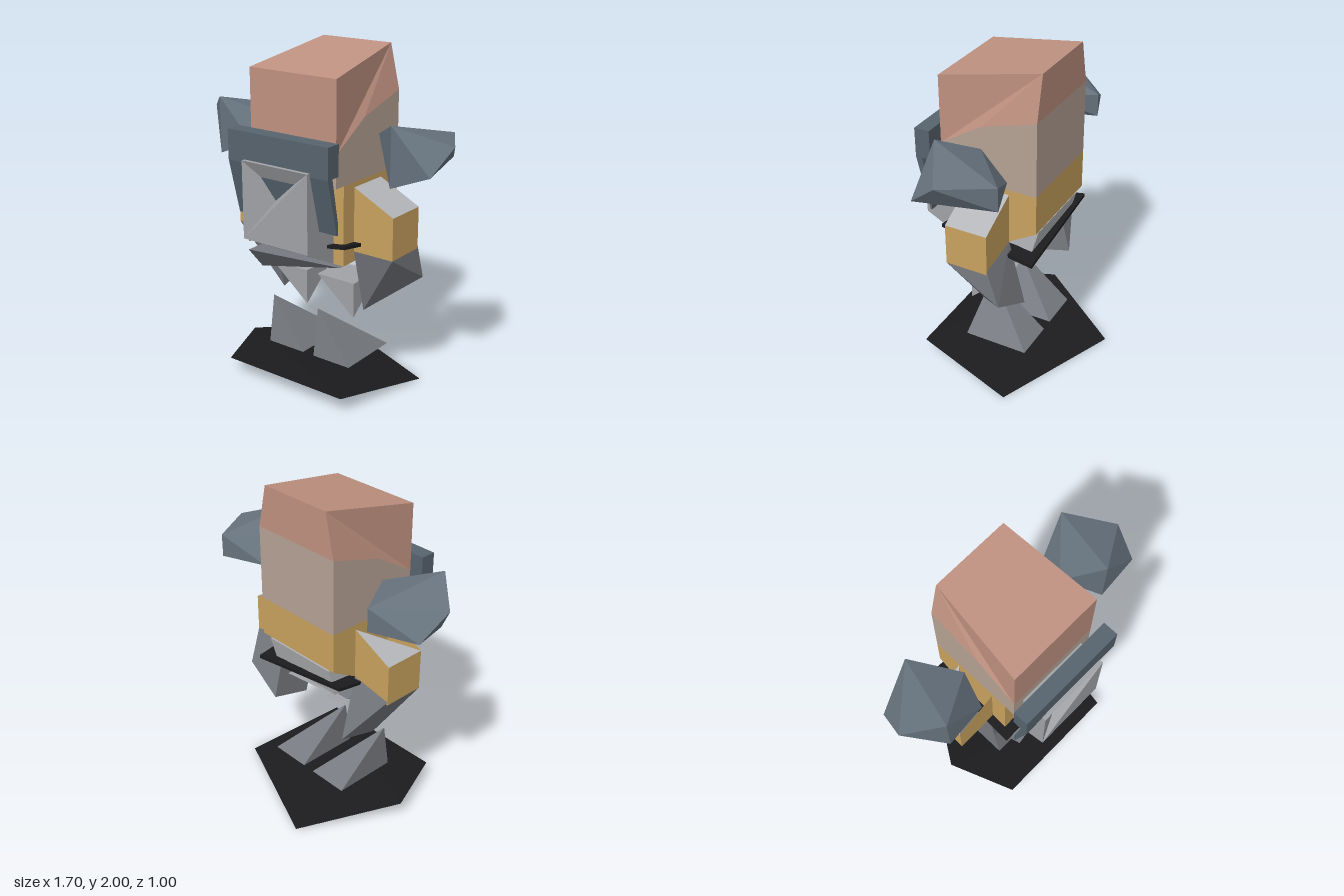
import * as THREE from 'three';
import { ConvexGeometry } from 'three/addons/geometries/ConvexGeometry.js';

const material = (color) =>
  new THREE.MeshStandardMaterial({ color, flatShading: true, side: THREE.DoubleSide });

const SKIN = material(0xbf9180), BEIGE = material(0xb5a294), GOLD = material(0xc8a25e),
  SLATE = material(0x56636e), FIST = material(0x66727d), GREY = material(0xa0a2a6),
  LIGHT = material(0xb4b6ba), DARK = material(0x777a80), BLACK = material(0x1c1c1f);

export function createModel() {
  const model = new THREE.Group();

  const add = (name, geometry, mat, x = 0) => {
    const mesh = new THREE.Mesh(geometry, mat);
    mesh.name = name;
    mesh.position.x = x;
    model.add(mesh);
    return mesh;
  };
  const vectors = (points) => points.map((p) => new THREE.Vector3(...p));
  const hull = (points) => new ConvexGeometry(vectors(points));

  // Side profile given as [z, y], swept across the width and centred on x
  const sweep = (profile, width) => {
    const shape = new THREE.Shape(profile.map(([z, y]) => new THREE.Vector2(z, y)));
    const geometry = new THREE.ExtrudeGeometry(shape, { depth: width, bevelEnabled: false });
    return geometry.translate(0, 0, -width / 2).rotateY(-Math.PI / 2);
  };

  // Flat polygons, each fanned from its first corner
  const sheet = (polygons) => {
    const corners = [];
    for (const poly of polygons) {
      for (let i = 1; i < poly.length - 1; i++) corners.push(poly[0], poly[i], poly[i + 1]);
    }
    const geometry = new THREE.BufferGeometry().setFromPoints(vectors(corners));
    geometry.computeVertexNormals();
    return geometry;
  };

  // Head: upper block narrows at the top of the back
  const crown = sweep([[-0.26, 2], [-0.26, 1.74], [0.08, 1.64], [0.34, 1.48], [0.34, 1.89]], 0.6);
  const pos = crown.attributes.position;
  for (let i = 0; i < pos.count; i++) {
    if (pos.getY(i) > 1.95) pos.setX(i, pos.getX(i) * 0.8);
  }
  crown.computeVertexNormals();
  add('headTop', crown, SKIN);
  add('headBase', sweep([[0.34, 1.29], [0.34, 1.48], [0.08, 1.64], [-0.26, 1.74], [-0.26, 1.29]], 0.6), BEIGE);

  // Torso, pelvis and loin
  add('torso', sweep([[0.27, 1.29], [-0.26, 1.29], [-0.26, 1.05], [-0.09, 0.95], [0.12, 0.82], [0.27, 0.82]], 0.6), GOLD);
  add('pelvis', sweep([[-0.25, 1.03], [-0.2, 0.85], [0.1, 0.815], [0.1, 1]], 0.5), LIGHT);
  add('loin', hull([[-0.3, 0.82, 0.39], [0.3, 0.82, 0.3], [-0.3, 0.68, 0.27],
    [0.3, 0.82, -0.15], [-0.3, 0.82, -0.15], [-0.3, 0.74, 0.1]]), DARK);

  // Twisted thin belt
  const belt = new THREE.BoxGeometry(0.7, 0.02, 0.59, 4, 1, 4);
  const bp = belt.attributes.position;
  for (let i = 0; i < bp.count; i++) {
    bp.setY(i, bp.getY(i) + 0.05 * (bp.getX(i) / 0.35) * (bp.getZ(i) / 0.295));
  }
  belt.translate(0, 0.908, 0.035).computeVertexNormals();
  add('belt', belt, BLACK);

  // Chest panel with a dented upper corner
  const w = 0.23;
  const tl = [-w, 1.4, 0.505], tr = [w, 1.4, 0.505], bl = [-w, 0.94, 0.505], br = [w, 0.94, 0.505];
  const dent = [-0.02, 1.22, 0.42];
  const btl = [-w, 1.4, 0.27], btr = [w, 1.4, 0.27], bbl = [-w, 0.82, 0.27], bbr = [w, 0.82, 0.27];
  add('chestPanel', sheet([
    [bl, br, tr], [tl, dent, tr], [tl, bl, dent], [bl, tr, dent],
    [bl, bbl, bbr, br], [tl, btl, bbl, bl], [tr, br, bbr, btr], [tl, tr, btr, btl], [btl, btr, bbr, bbl],
  ]), GREY);

  // Face guard
  add('faceGuard', sweep([[0.48, 1.56], [0.48, 1.38], [0.4, 1.05], [0.39, 1.05], [0.39, 1.12],
    [0.44, 1.38], [0.385, 1.38], [0.385, 1.56]], 0.7), SLATE);

  for (const s of [1, -1]) {
    const side = s > 0 ? 'left' : 'right';
    // Shoulder: open gold box under a sloping pale top
    const f = [[0.3 * s, 0.88, 0.17], [0.56 * s, 0.88, 0.17], [0.56 * s, 1.13, 0.17], [0.3 * s, 1.26, 0.17]];
    const b = f.map(([x, y]) => [x, y, -0.09]);
    const walls = [f, [...b].reverse(), [f[1], b[1], b[2], f[2]], [f[0], b[0], b[1], f[1]]];
    const top = s > 0 ? [f[3], f[2], b[2], b[3]] : [b[3], b[2], f[2]];
    const outward = (polys) => (s > 0 ? polys : polys.map((p) => [...p].reverse()));
    add(side + 'Shoulder', sheet(outward(walls)), GOLD);
    add(side + 'ShoulderTop', sheet(outward([top])), LIGHT);

    // Forearm tapering inward
    const arm = [[0.3 * s, 0.88, 0.17], [0.56 * s, 0.88, 0.17], [0.56 * s, 0.9, -0.09], [0.3 * s, 0.95, -0.09],
      [0.3 * s, 0.48, 0.07], [0.3 * s, 0.55, -0.19]];
    if (s > 0) arm.push([0.56, 0.68, -0.16]);
    add(side + 'Forearm', hull(arm), DARK);
  }

  // Floating fists and legs repeat by shifting, not mirroring
  const fist = hull([[0, 1.655, 0.21], [0, 1.31, 0.21], [0.29, 1.55, 0.04], [-0.19, 1.55, 0.04],
    [0.245, 1.41, 0.21], [-0.15, 1.41, -0.14], [0.125, 1.55, -0.24], [0.125, 1.41, -0.24]]);
  const thigh = hull([[0, 0.68, 0.17], [0.26, 0.68, 0.17], [0.26, 0.465, 0.17], [0.26, 0.68, -0.08], [0, 0.68, -0.05]]);
  const shin = hull([[0, 0.455, 0.17], [0, 0.16, 0.215], [0.26, 0.16, 0.215], [0.26, 0.16, -0.19], [0, 0.16, -0.19]]);
  ['left', 'right'].forEach((side, i) => {
    add(side + 'Fist', fist, FIST, i ? -0.66 : 0.56);
    // The right thigh points its tip inward
    add(side + 'Thigh', thigh, GREY, i ? -0.3 : 0.04);
    add(side + 'Shin', shin, DARK, i ? -0.3 : 0.04);
  });
  // Right shin leans on the outer side, left shin on the inner side

  // Slanted ground slab
  add('base', hull([[0.415, 0.1, 0.45], [-0.42, 0.1, 0.45], [-0.58, 0.1, 0.04],
    [-0.23, 0, -0.5], [0.55, 0, -0.18], [0, 0.005, 0.03]]), BLACK);

  return model;
}
